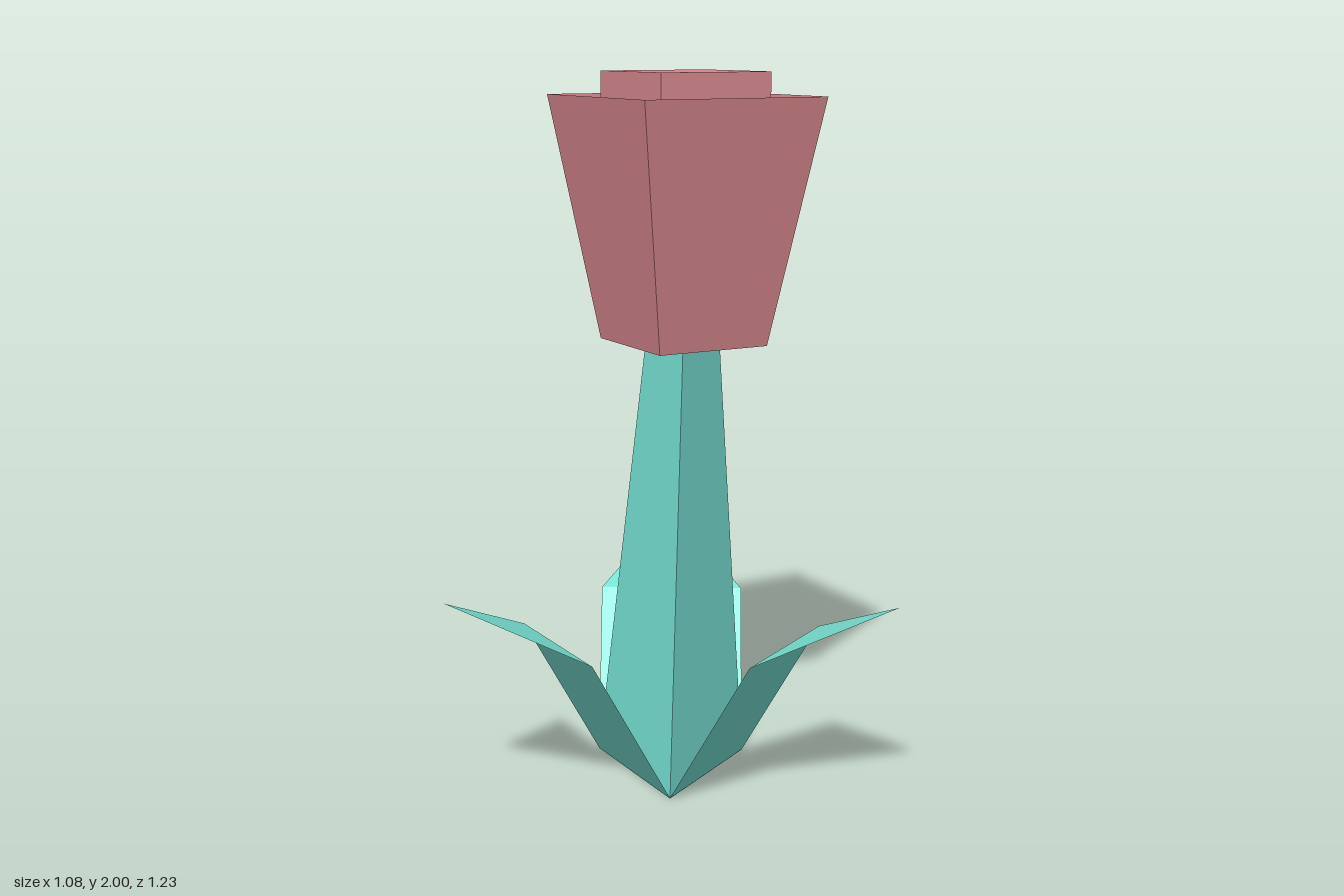
import * as THREE from 'three';

const flat = (color, name) =>
  new THREE.MeshStandardMaterial({ name, color, flatShading: true, side: THREE.DoubleSide });

// Unshared corners so every facet keeps its own normal
function faceted(geometry) {
  const g = geometry.index ? geometry.toNonIndexed() : geometry;
  g.computeVertexNormals();
  return g;
}

export function createModel() {
  const model = new THREE.Group();
  model.name = 'tulip';
  const green = flat(0x76e0d2, 'leafGreen');
  const pink = flat(0xd4868c, 'petalPink');

  const add = (name, geometry, material, x, y) => {
    const mesh = new THREE.Mesh(faceted(geometry), material);
    mesh.name = name;
    mesh.position.set(x, y, 0);
    model.add(mesh);
    return mesh;
  };

  const baseX = 0.168; // centre of the stem foot
  const bloomX = 0.2; // centre of the flower
  const bloomY = 1.255;

  // Three-sided stem, tapering and leaning slightly towards the flower
  const stem = new THREE.CylinderGeometry(0.12, 0.247, bloomY, 3, 1, false, Math.PI / 2);
  stem.translate(0, bloomY / 2, 0);
  const p = stem.attributes.position;
  for (let i = 0; i < p.count; i++) {
    p.setX(i, p.getX(i) + (bloomX - baseX) * p.getY(i) / bloomY);
  }
  add('stem', stem, green, baseX, 0);

  // Three folded leaves, one from each side of the stem
  const leaf = new THREE.BufferGeometry();
  leaf.setAttribute('position', new THREE.Float32BufferAttribute([
    0.123, 0, -0.214, 0.123, 0, 0.214, // root
    0.368, 0.43, 0.214, 0.368, 0.43, -0.214, // fold
    0.708, 0.6, 0, // tip
  ], 3));
  leaf.setIndex([0, 1, 2, 0, 2, 3, 3, 2, 4]);
  [['leftFrontLeaf', -1], ['leftBackLeaf', 1], ['rightLeaf', 3]].forEach(([name, turn]) => {
    add(name, leaf, green, baseX, 0).rotation.y = turn * Math.PI / 3;
  });

  // Open flaring cup of outer petals
  const cup = new THREE.CylinderGeometry(
    0.28 * Math.SQRT2, 0.17 * Math.SQRT2, 0.68, 4, 1, true, Math.PI / 4);
  add('outerPetals', cup, pink, bloomX, bloomY + 0.34);

  // Inner bud, which also closes the bottom of the cup
  const budHeight = 2 - bloomY;
  add('innerBud', new THREE.BoxGeometry(0.34, budHeight, 0.34), pink, bloomX, bloomY + budHeight / 2);

  return model;
}
